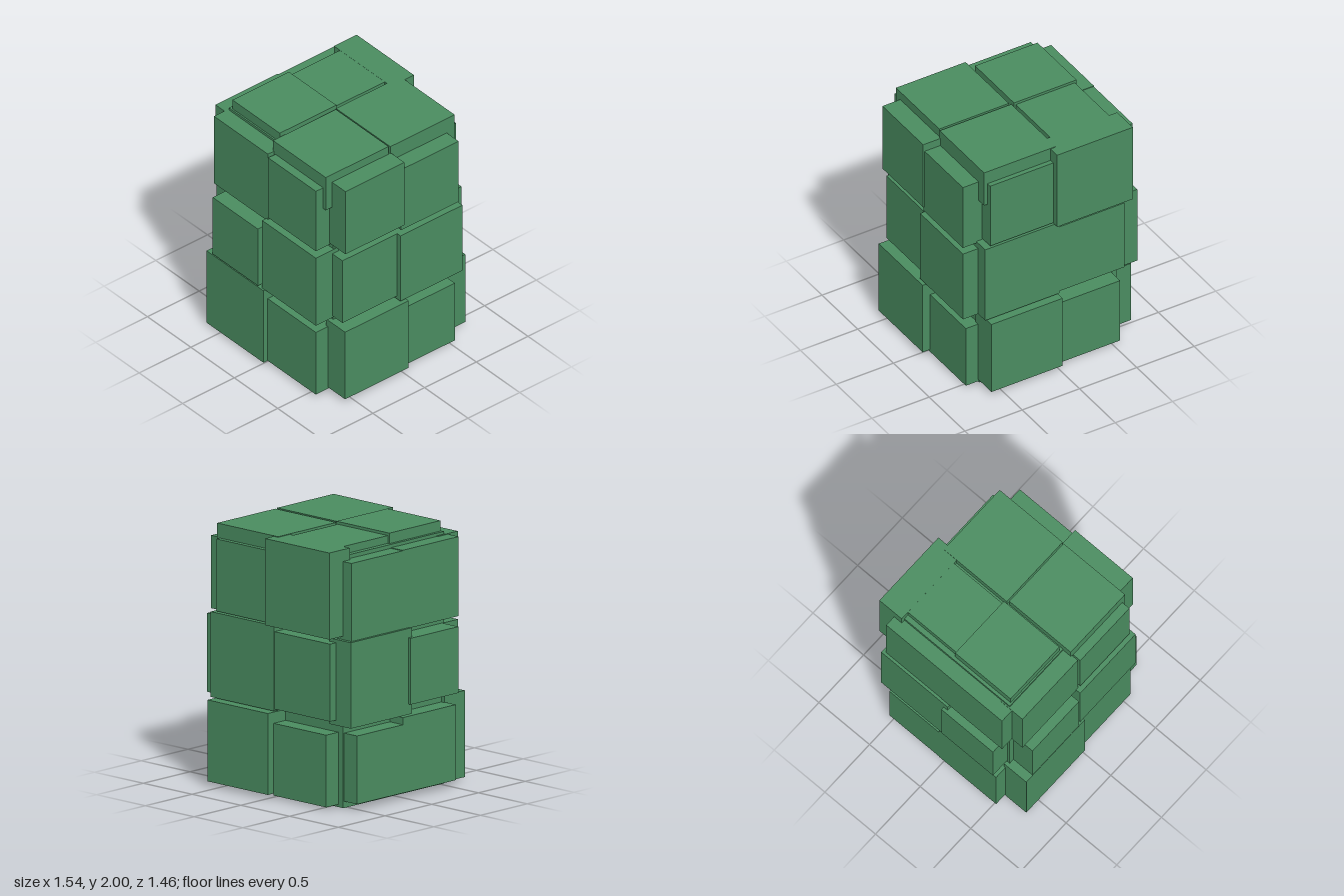
import * as THREE from 'three';

export function createModel() {
  const model = new THREE.Group();
  model.name = 'blockyHedge';
  const leafGreen = new THREE.MeshStandardMaterial({ color: 0x4a8c60 });
  leafGreen.name = 'leaf green';

  // Box from its lower and upper limits on each axis
  function block(name, x0, x1, y0, y1, z0, z1) {
    const mesh = new THREE.Mesh(new THREE.BoxGeometry(x1 - x0, y1 - y0, z1 - z0), leafGreen);
    mesh.position.set((x0 + x1) / 2, (y0 + y1) / 2, (z0 + z1) / 2);
    mesh.name = name;
    model.add(mesh);
  }

  block('core', -0.61, 0.59, 0, 1.92, -0.54, 0.54);

  const depth = 0.22;

  // Leaf blocks across the front and back: x range, y range, outer z
  const front = [
    [-0.64, 0.015, 0.02, 0.68, 0.73], [0.015, 0.57, 0.02, 0.59, 0.69],
    [-0.57, -0.05, 0.69, 1.21, 0.73], [-0.02, 0.6, 0.68, 1.3, 0.715],
    [-0.62, 0, 1.285, 1.9, 0.675], [0.015, 0.565, 1.33, 1.88, 0.685],
  ];
  const back = [
    [-0.56, -0.02, 0.02, 0.57, -0.67], [-0.02, 0.6, 0.035, 0.655, -0.73],
    [-0.6, -0.02, 0.68, 1.27, -0.67], [-0.03, 0.62, 0.665, 1.315, -0.675],
    [-0.64, 0.02, 1.32, 1.98, -0.72], [0.02, 0.57, 1.325, 1.875, -0.665],
  ];
  for (const [x0, x1, y0, y1, z] of front) block('frontLeafBlock', x0, x1, y0, y1, z - depth, z);
  for (const [x0, x1, y0, y1, z] of back) block('backLeafBlock', x0, x1, y0, y1, z, z + depth);

  // Leaf blocks on the two sides: z range, y range, outer x
  const left = [
    [-0.04, 0.575, 0.035, 0.65, 0.77], [-0.54, -0.01, 0.015, 0.54, 0.705],
    [-0.015, 0.555, 0.695, 1.265, 0.715], [-0.575, 0.025, 0.665, 1.265, 0.752],
    [-0.015, 0.555, 1.345, 1.92, 0.75], [-0.55, 0.005, 1.3, 1.855, 0.737],
  ];
  const right = [
    [-0.04, 0.525, 0.05, 0.625, -0.745], [-0.53, -0.01, 0.05, 0.57, -0.743],
    [0.01, 0.52, 0.72, 1.225, -0.775], [-0.605, 0.05, 0.64, 1.295, -0.75],
    [-0.03, 0.57, 1.29, 1.895, -0.73], [-0.575, 0.02, 1.29, 1.89, -0.728],
  ];
  for (const [z0, z1, y0, y1, x] of left) block('leftLeafBlock', x - depth, x, y0, y1, z0, z1);
  for (const [z0, z1, y0, y1, x] of right) block('rightLeafBlock', x, x + depth, y0, y1, z0, z1);

  // Leaf blocks on top: x range, z range, top height
  const top = [
    [-0.585, -0.04, -0.02, 0.527, 2], [-0.012, 0.595, 0.008, 0.615, 1.99],
    [-0.57, -0.055, -0.53, -0.02, 1.979], [-0.025, 0.6, -0.627, -0.005, 1.985],
  ];
  for (const [x0, x1, z0, z1, y] of top) block('topLeafBlock', x0, x1, y - 0.3, y, z0, z1);

  return model;
}
